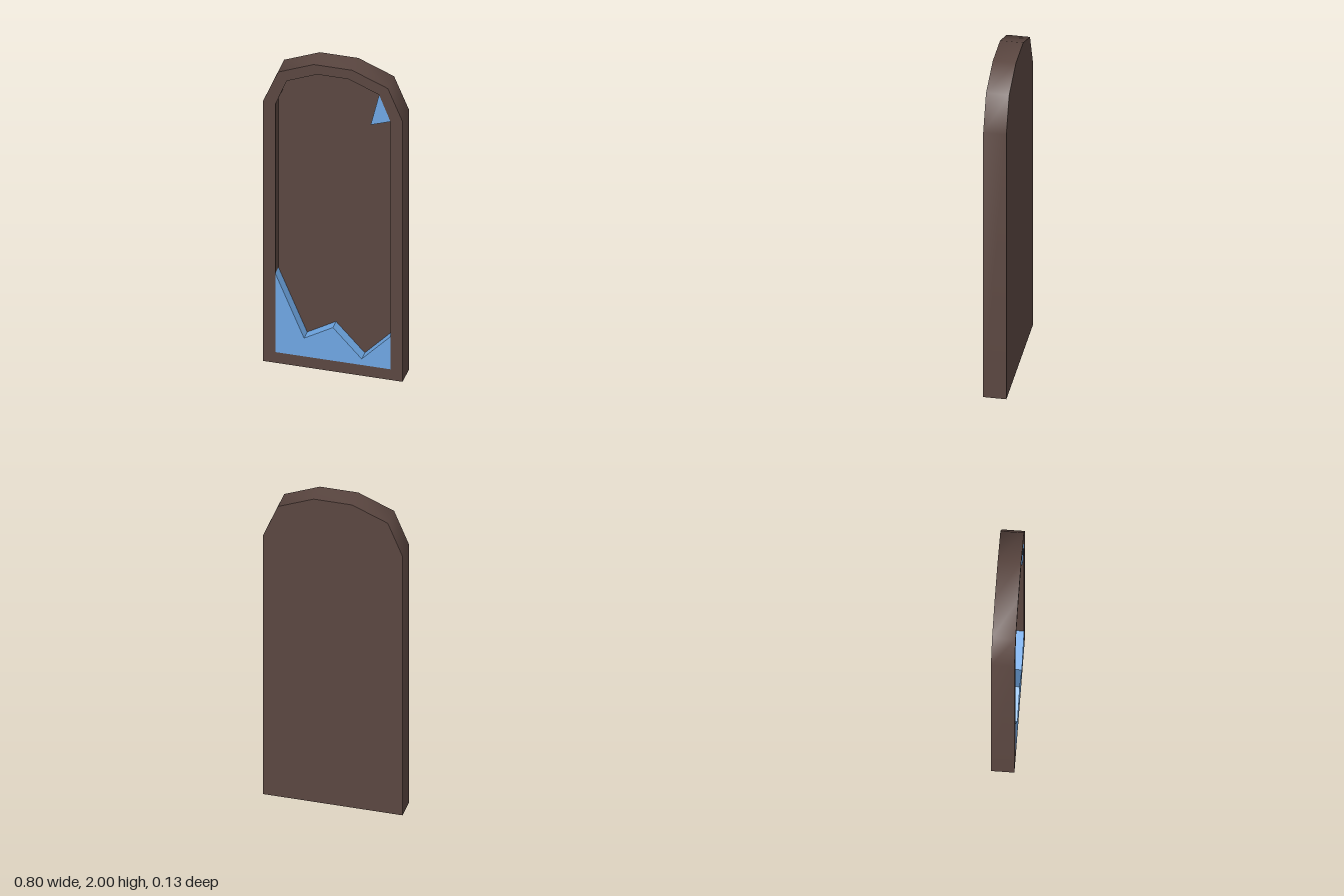
import * as THREE from 'three';
import { toCreasedNormals } from 'three/addons/utils/BufferGeometryUtils.js';

const HALF_DEPTH = 0.065;
const FLOOR_Z = 0; // front of the backing panel inside the frame

const points = (list) => list.map(([x, y]) => new THREE.Vector2(x, y));

// Mirrors the right half of an arched outline into a closed loop.
function archOutline(half) {
  return points([...half, ...half.map(([x, y]) => [-x, y]).reverse()]);
}

function extrudedPart(name, shape, z0, z1, material) {
  const geometry = new THREE.ExtrudeGeometry(shape, { depth: z1 - z0, bevelEnabled: false });
  geometry.translate(0, 0, z0);
  const mesh = new THREE.Mesh(toCreasedNormals(geometry, THREE.MathUtils.degToRad(50)), material);
  mesh.name = name;
  return mesh;
}

export function createModel() {
  const model = new THREE.Group();
  model.name = 'brokenMirror';
  const wood = new THREE.MeshStandardMaterial({ color: 0x5a4640 });
  const glass = new THREE.MeshStandardMaterial({ color: 0x6ea6e2 });

  const outer = archOutline([[0.4, 0], [0.4, 1.71], [0.315, 1.915], [0.11, 2]]);
  const inner = archOutline([[0.33, 0.07], [0.33, 1.7], [0.265, 1.865], [0.09, 1.938]]);

  // Arched frame around the recess
  const frameShape = new THREE.Shape(outer);
  frameShape.holes.push(new THREE.Path(inner));
  model.add(extrudedPart('frame', frameShape, -HALF_DEPTH, HALF_DEPTH, wood));

  // Backing panel that closes the rear half of the opening
  model.add(extrudedPart('backPanel', new THREE.Shape(inner), -HALF_DEPTH, FLOOR_Z, wood));

  // Jagged glass left along the bottom, flush with the frame
  const lowerGlass = new THREE.Shape(points([
    [-0.33, 0.07], [0.33, 0.07], [0.33, 0.285], [0.165, 0.11],
    [0, 0.288], [-0.165, 0.19], [-0.33, 0.588],
  ]));
  model.add(extrudedPart('lowerGlass', lowerGlass, FLOOR_Z, HALF_DEPTH, glass));

  // Small shard in the upper corner
  const shard = new THREE.Shape(points([[0.217, 1.66], [0.33, 1.7], [0.265, 1.865]]));
  model.add(extrudedPart('upperShard', shard, FLOOR_Z, HALF_DEPTH, glass));

  return model;
}
